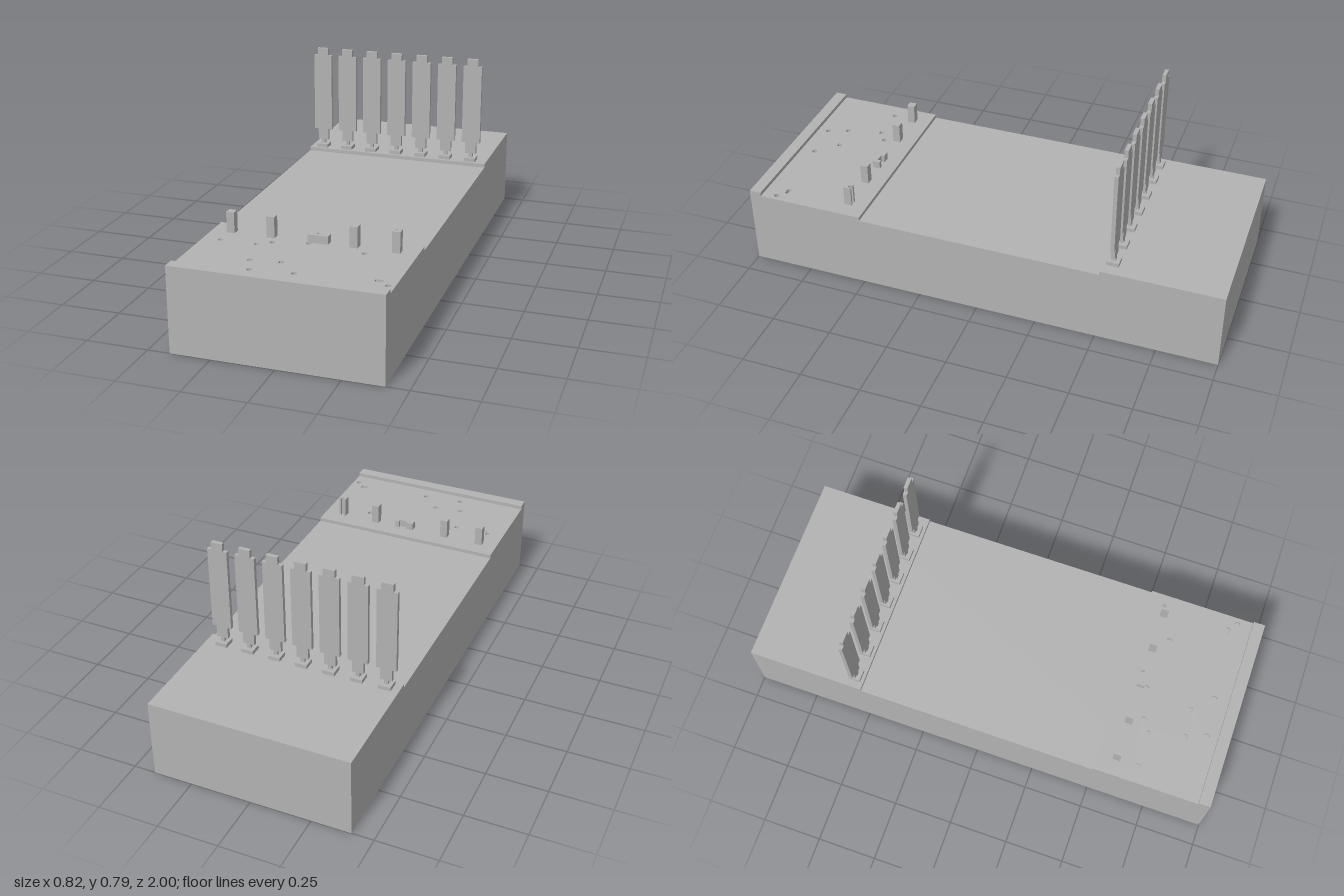
import * as THREE from 'three';

export function createModel() {
  const model = new THREE.Group();
  const grey = new THREE.MeshStandardMaterial({ color: 0xb2b2b2 });
  grey.name = 'plain grey';

  function add(name, geometry, parent = model) {
    const mesh = new THREE.Mesh(geometry, grey);
    mesh.name = name;
    parent.add(mesh);
    return mesh;
  }
  // Box given by its limits on each axis
  function box(name, x0, x1, y0, y1, z0, z1, parent) {
    const g = new THREE.BoxGeometry(x1 - x0, y1 - y0, z1 - z0);
    g.translate((x0 + x1) / 2, (y0 + y1) / 2, (z0 + z1) / 2);
    return add(name, g, parent);
  }
  // Plan outline in (x, z), raised from y0 to y1
  const plan = points => points.map(([x, z]) => new THREE.Vector2(x, -z));
  function raise(name, shape, y0, y1) {
    const g = new THREE.ExtrudeGeometry(shape, { depth: y1 - y0, bevelEnabled: false });
    g.rotateX(-Math.PI / 2).translate(0, y0, 0);
    return add(name, g);
  }
  const rect = (x0, x1, z0, z1) => plan([[x0, z1], [x1, z1], [x1, z0], [x0, z0]]);

  const W = 0.411, FLOOR = 0.315, DECK = 0.331;

  // Main block and raised decks
  box('body', -W, W, 0, FLOOR, -1, 1);
  box('rearDeck', -W, W, FLOOR, DECK, -1, -0.507);
  box('frontLip', -W, W, DECK, 0.347, 0.951, 1);

  // Front deck with small pits
  const deck = new THREE.Shape(rect(-W, W, 0.505, 1));
  const roundPits = [[-0.143, 0.64], [-0.01, 0.608], [0.22, 0.64], [-0.127, 0.905],
    [0.038, 0.89], [0.385, 0.89]];
  for (const [x, z] of roundPits) {
    deck.holes.push(new THREE.Path().absarc(x, -z, 0.011, 0, Math.PI * 2, true));
  }
  const squarePits = [[-0.34, 0.675, 0.018], [-0.193, 0.675, 0.018], [-0.158, 0.822, 0.02],
    [-0.042, 0.808, 0.02], [0.343, 0.858, 0.03]];
  for (const [x, z, w] of squarePits) {
    deck.holes.push(new THREE.Path(rect(x - w / 2, x + w / 2, z - 0.009, z + 0.009).reverse()));
  }
  const frontDeck = raise('frontDeck', deck, FLOOR, DECK);
  frontDeck.geometry.computeVertexNormals();

  // Row of upright slats on feet
  const half = [[0.008, 0.345], [0.008, 0.365], [0.024, 0.365], [0.024, 0.415], [0.041, 0.415],
    [0.041, 0.762], [0.024, 0.762], [0.024, 0.794]];
  const outline = [...half, ...half.map(([x, y]) => [-x, y]).reverse()];
  const slatGeometry = new THREE.ExtrudeGeometry(
    new THREE.Shape(outline.map(([x, y]) => new THREE.Vector2(x, y))),
    { depth: 0.016, bevelEnabled: false });
  slatGeometry.translate(0, 0, -0.554);
  for (let i = 0; i < 7; i++) {
    const stand = new THREE.Group();
    stand.name = 'slatStand';
    stand.position.x = -0.356 + i * 0.1157;
    add('slat', slatGeometry, stand);
    box('foot', -0.025, 0.025, DECK, 0.347, -0.571, -0.521, stand);
    model.add(stand);
  }

  // Posts on the front deck
  for (const x of [-0.331, -0.167, 0.164]) {
    box('post', x - 0.016, x + 0.016, DECK, 0.415, 0.568, 0.6);
  }
  // Post with a groove down its back
  raise('groovedPost', new THREE.Shape(plan([[0.312, 0.6], [0.344, 0.6], [0.344, 0.568],
    [0.336, 0.568], [0.336, 0.582], [0.322, 0.582], [0.322, 0.568], [0.312, 0.568]])), DECK, 0.415);

  // Low bracket with two rear lugs
  raise('bracket', new THREE.Shape(plan([[-0.018, 0.6], [0.064, 0.6], [0.064, 0.568],
    [0.048, 0.568], [0.048, 0.583], [0.014, 0.583], [0.014, 0.568], [-0.018, 0.568]])), DECK, 0.363);

  return model;
}
